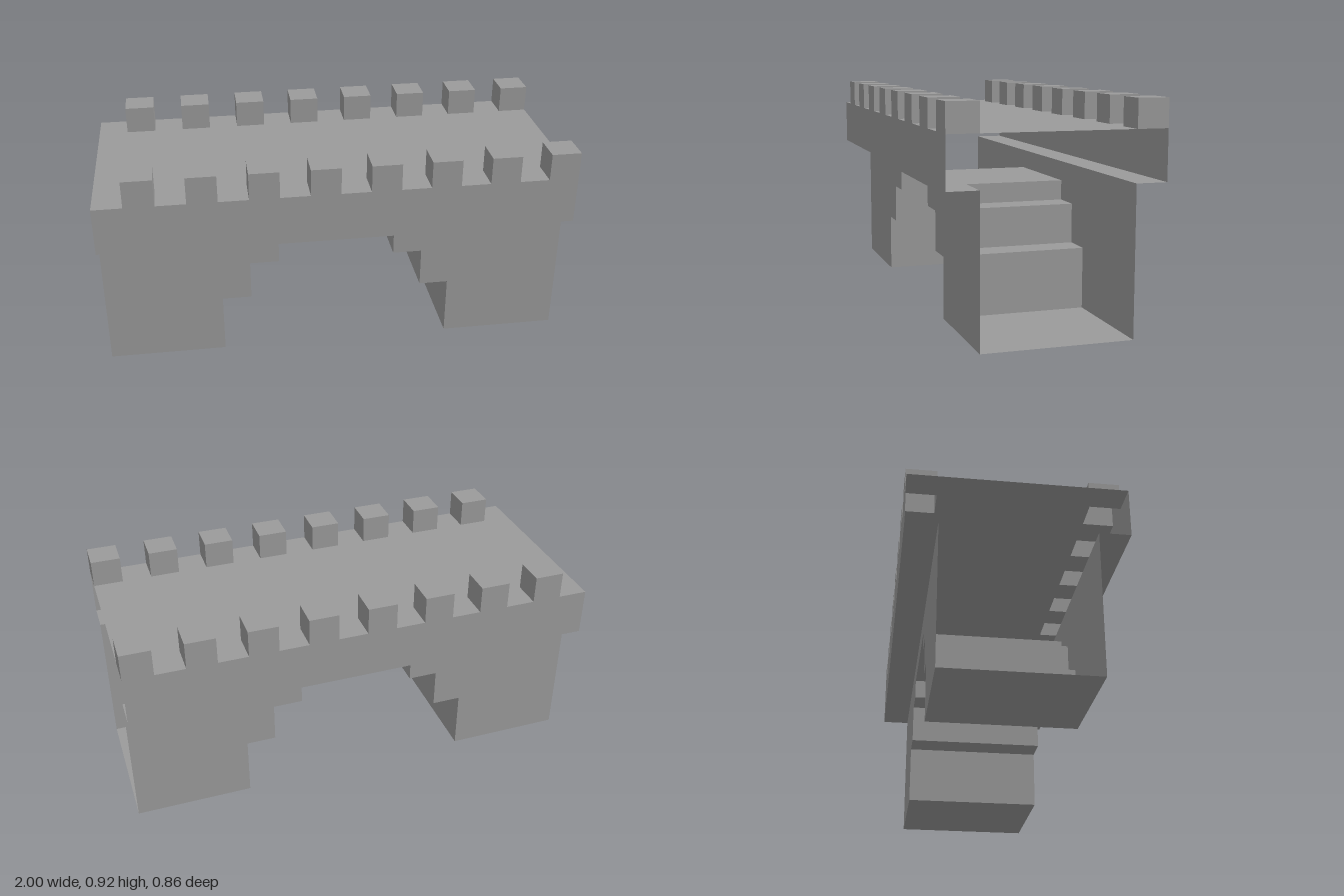
import * as THREE from 'three';

const PIER_Z = 0.305, DECK_Z = 0.431;
const LEDGE_Y = 0.6, DECK_Y = 0.803, MERLON_Y = 0.918;
const MERLON_W = 0.125, MERLON_STEP = 0.25;
const merlonX = Array.from({ length: 8 }, (_, i) => -0.875 + i * MERLON_STEP);

// Stepped arch outline from left to right, including the pier bases
const archHalf = [[1, 0], [0.5, 0], [0.5, 0.259], [0.375, 0.259], [0.375, 0.429], [0.25, 0.429], [0.25, 0.515]];
const arch = [...archHalf.map(([x, y]) => [-x, y]), ...[...archHalf].reverse()];

// Battlement line: value is "base" between merlons and "raised" at each merlon
function crenelLine(base, raised) {
  const pts = [[-1, base]];
  for (const x of merlonX) {
    pts.push([x, base], [x, raised], [x + MERLON_W, raised]);
    if (x + MERLON_W < 0.999) pts.push([x + MERLON_W, base]);
  }
  return pts;
}

function flat(points) {
  return new THREE.ShapeGeometry(new THREE.Shape(points.map(([x, y]) => new THREE.Vector2(x, y))));
}

// Sweeps an open xy line along z as flat faces
function strip(points, z0, z1) {
  const pos = [];
  for (let i = 0; i < points.length - 1; i++) {
    const [a, b] = [points[i], points[i + 1]];
    pos.push(...a, z1, ...b, z1, ...b, z0, ...a, z1, ...b, z0, ...a, z0);
  }
  const g = new THREE.BufferGeometry();
  g.setAttribute('position', new THREE.Float32BufferAttribute(pos, 3));
  g.computeVertexNormals();
  return g;
}

export function createModel() {
  const material = new THREE.MeshStandardMaterial({ color: 0x9b9b9b, flatShading: true, side: THREE.DoubleSide });
  const model = new THREE.Group();
  model.name = 'battlementBridge';

  function add(parent, name, geometry) {
    const mesh = new THREE.Mesh(geometry, material);
    mesh.name = name;
    parent.add(mesh);
    return mesh;
  }

  // Underside of the stepped arch and pier bases
  add(model, 'archUnderside', strip([...arch].reverse(), -PIER_Z, PIER_Z));

  // Walkway, open beneath the hollow merlons
  const edge = crenelLine(DECK_Z, PIER_Z);
  const deck = flat([...edge.map(([x, y]) => [x, -y]), ...[...edge].reverse()]);
  add(model, 'walkway', deck.rotateX(-Math.PI / 2).translate(0, DECK_Y, 0));

  // Both long sides; the ends of the bridge stay open
  for (const s of [1, -1]) {
    const side = new THREE.Group();
    side.name = s > 0 ? 'frontSide' : 'backSide';
    side.scale.z = s;
    model.add(side);

    add(side, 'archWall', flat([...arch, [1, LEDGE_Y], [-1, LEDGE_Y]])).position.z = PIER_Z;
    add(side, 'ledge', strip([[1, LEDGE_Y], [-1, LEDGE_Y]], PIER_Z, DECK_Z));

    const top = crenelLine(DECK_Y, MERLON_Y).reverse();
    add(side, 'parapet', flat([[-1, LEDGE_Y], [1, LEDGE_Y], ...top])).position.z = DECK_Z;

    // Merlon sides, tops and inner faces
    for (const x of merlonX) {
      const r = x + MERLON_W;
      add(side, 'merlon', strip([[x, DECK_Y], [x, MERLON_Y], [r, MERLON_Y], [r, DECK_Y]], PIER_Z, DECK_Z));
      const inner = new THREE.PlaneGeometry(MERLON_W, MERLON_Y - DECK_Y).rotateY(Math.PI);
      add(side, 'merlonInnerFace', inner).position.set(x + MERLON_W / 2, (DECK_Y + MERLON_Y) / 2, PIER_Z);
    }
  }
  return model;
}
